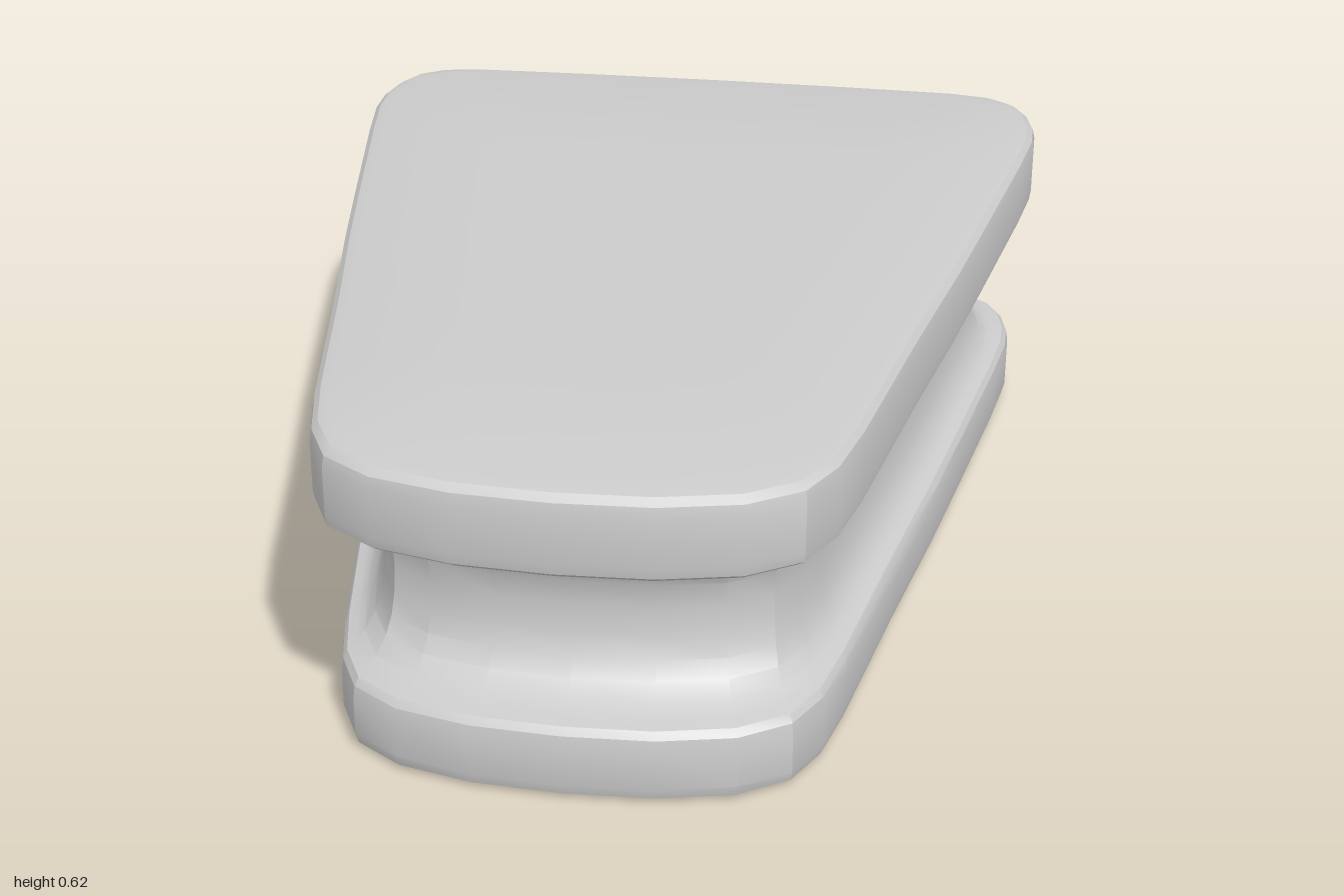
import * as THREE from 'three';
import { toCreasedNormals } from 'three/addons/utils/BufferGeometryUtils.js';

// Right half of the tapered outline, back centre to front centre (x, z)
const HALF = [
  [0, -1], [0.3, -0.997], [0.54, -0.99], [0.62, -0.975], [0.67, -0.94], [0.697, -0.885],
  [0.712, -0.81], [0.712, -0.73], [0.692, -0.59], [0.63, -0.22], [0.592, 0], [0.535, 0.3],
  [0.47, 0.67], [0.44, 0.8], [0.395, 0.89], [0.305, 0.95], [0.165, 0.983], [0, 0.992],
];
const OUTLINE = [...HALF, ...HALF.slice(1, -1).reverse().map(([x, z]) => [-x, z])];

// Sections from bottom to top: height, half width, back z, front z
const BASE = [
  [0.003, 0.665, -0.965, 0.92], [0.01, 0.678, -0.978, 0.933], [0.03, 0.684, -0.984, 0.939],
  [0.1, 0.684, -0.984, 0.939], [0.125, 0.68, -0.98, 0.935], [0.138, 0.67, -0.968, 0.925],
];
const NECK = [
  [0.143, 0.652, -0.945, 0.9], [0.152, 0.636, -0.917, 0.868], [0.175, 0.617, -0.888, 0.832],
  [0.205, 0.605, -0.874, 0.812], [0.245, 0.598, -0.866, 0.8], [0.3, 0.595, -0.863, 0.795],
  [0.345, 0.598, -0.866, 0.801], [0.385, 0.607, -0.877, 0.82], [0.415, 0.624, -0.897, 0.85],
  [0.435, 0.648, -0.922, 0.888],
];
const TOP = [
  [0.446, 0.678, -0.955, 0.937], [0.453, 0.696, -0.98, 0.97], [0.466, 0.71, -0.996, 0.988],
  [0.485, 0.713, -1, 0.992], [0.575, 0.713, -1, 0.992], [0.595, 0.708, -0.996, 0.988],
  [0.606, 0.695, -0.982, 0.973], [0.611, 0.67, -0.957, 0.945], [0.617, 0.4, -0.58, 0.57],
];

// Skin a stack of scaled outlines, with optional fan caps at the given heights
function loft(sections, bottomY, topY) {
  const n = OUTLINE.length, pos = [], index = [];
  for (const [y, w, back, front] of sections) {
    for (const [x, z] of OUTLINE) {
      pos.push(x * w / 0.712, y, back + (front - back) * (z + 1) / 1.992);
    }
  }
  for (let i = 0; i < sections.length - 1; i++) {
    for (let j = 0; j < n; j++) {
      const a = i * n + j, b = i * n + (j + 1) % n;
      index.push(a, a + n, b + n, a, b + n, b);
    }
  }
  const cap = (y, first, up) => {
    const centre = pos.length / 3;
    pos.push(0, y, 0);
    for (let j = 0; j < n; j++) {
      const a = first + j, b = first + (j + 1) % n;
      index.push(centre, up ? b : a, up ? a : b);
    }
  };
  if (bottomY !== undefined) cap(bottomY, 0, false);
  if (topY !== undefined) cap(topY, (sections.length - 1) * n, true);
  const g = new THREE.BufferGeometry();
  g.setAttribute('position', new THREE.Float32BufferAttribute(pos, 3));
  g.setIndex(index);
  return toCreasedNormals(g, 0.42);
}

export function createModel() {
  const group = new THREE.Group();
  group.name = 'taperedSpool';
  const material = new THREE.MeshStandardMaterial({ color: 0xcccccc });
  const add = (name, geometry) => {
    const mesh = new THREE.Mesh(geometry, material);
    mesh.name = name;
    group.add(mesh);
  };
  // Each part starts on the last section of the one below
  add('baseFlange', loft(BASE, 0));
  add('waistedNeck', loft([BASE.at(-1), ...NECK]));
  add('topFlange', loft([NECK.at(-1), ...TOP], undefined, 0.62));
  return group;
}
